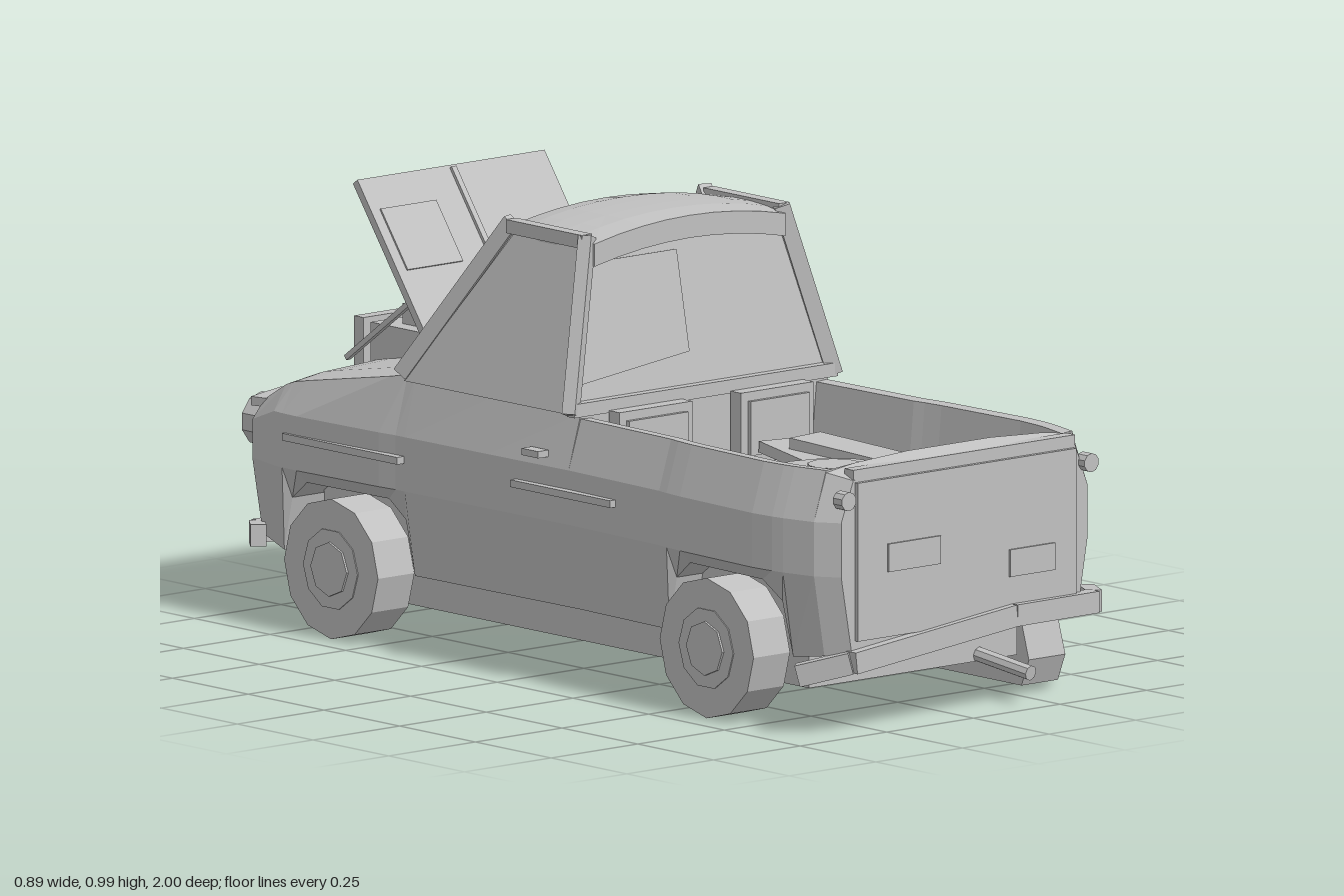
import * as THREE from 'three';

const paint = new THREE.MeshStandardMaterial({ color: 0xc0c0c0 });
paint.name = 'grey';

const V = (x, y, z) => new THREE.Vector3(x, y, z);

// Non-indexed geometry with one normal per face
function flat(geo) {
  const g = geo.index ? geo.toNonIndexed() : geo;
  g.computeVertexNormals();
  return g;
}

function fromTriangles(points, index) {
  const g = new THREE.BufferGeometry();
  g.setAttribute('position', new THREE.Float32BufferAttribute(points, 3));
  g.setIndex(index);
  return flat(g);
}

// Body: closed cross-sections lofted from the engine end to the tailgate
function bodyGeometry() {
  // z, half width, lower edge, rail height, [inner x, inner y, centre x, centre y]
  const deck = (w, y) => [w - 0.12, y + 0.012, 0.12, y + 0.02];
  const bed = w => [w - 0.065, 0.578, w - 0.08, 0.42];
  const stations = [
    [-0.98, 0.34, 0.2, 0.42, deck], [-0.94, 0.385, 0.18, 0.475, deck], [-0.84, 0.41, 0.16, 0.525, deck],
    [-0.81, 0.413, 0.28, 0.535, deck], [-0.76, 0.415, 0.32, 0.545, deck], [-0.5, 0.405, 0.32, 0.59, deck],
    [-0.45, 0.4, 0.28, 0.6, deck], [-0.42, 0.4, 0.16, 0.605, deck], [-0.15, 0.395, 0.16, 0.6, deck],
    [0.11, 0.39, 0.16, 0.59, deck], [0.11, 0.39, 0.16, 0.58, bed], [0.42, 0.4, 0.16, 0.58, bed],
    [0.45, 0.405, 0.28, 0.58, bed], [0.5, 0.41, 0.32, 0.58, bed], [0.75, 0.42, 0.32, 0.58, bed],
    [0.81, 0.415, 0.28, 0.58, bed], [0.84, 0.41, 0.16, 0.58, bed], [0.92, 0.39, 0.17, 0.58, bed],
    [0.92, 0.39, 0.17, 0.575, deck], [0.97, 0.355, 0.18, 0.56, deck],
  ];
  const n = 12, points = [], index = [];
  const rings = stations.map(([z, w, low, top, kind]) => {
    const [ax, ay, bx, by] = kind(w, top);
    const half = [[w - 0.03, low], [w, 0.35], [w, Math.min(0.47, top - 0.04)], [w - 0.035, top], [ax, ay], [bx, by]];
    const ring = half.concat(half.slice().reverse().map(([x, y]) => [-x, y]));
    ring.forEach(([x, y]) => points.push(x, y, z));
    return ring;
  });
  for (let s = 0; s < rings.length - 1; s++) {
    for (let i = 0; i < n; i++) {
      const a = s * n + i, b = s * n + (i + 1) % n;
      index.push(a, b, a + n, b, b + n, a + n);
    }
  }
  const last = (rings.length - 1) * n;
  for (let i = 1; i < n - 1; i++) {
    index.push(0, i + 1, i, last, last + i, last + i + 1);
  }
  return fromTriangles(points, index);
}

// Domed roof over a grid
function roofGeometry() {
  const g = new THREE.BoxGeometry(0.58, 0.05, 0.28, 8, 1, 5);
  const p = g.attributes.position;
  for (let i = 0; i < p.count; i++) {
    const u = p.getX(i) / 0.29, v = p.getZ(i) / 0.14;
    const edge = Math.max(u * u, v * v);
    p.setX(i, p.getX(i) * (1 - 0.05 * v * v));
    p.setY(i, p.getY(i) + 0.02 - 0.03 * u * u - 0.01 * v * v * edge);
  }
  return flat(g);
}

export function createModel() {
  const model = new THREE.Group();
  model.name = 'oldPickup';

  const add = (name, geo, x = 0, y = 0, z = 0, parent = model) => {
    const m = new THREE.Mesh(geo, paint);
    m.name = name;
    m.position.set(x, y, z);
    parent.add(m);
    return m;
  };
  const box = (name, w, h, d, x, y, z) => add(name, new THREE.BoxGeometry(w, h, d), x, y, z);
  const disc = (r, h, n) => flat(new THREE.CylinderGeometry(r, r, h, n));
  // Square or round bar between two points
  const bar = (name, a, b, w, h = w, round = false) => {
    const len = a.distanceTo(b);
    const geo = round ? disc(w, len, 8).rotateX(Math.PI / 2) : new THREE.BoxGeometry(w, h, len);
    const m = add(name, geo);
    m.position.copy(a).add(b).multiplyScalar(0.5);
    m.lookAt(b);
    return m;
  };
  // Thin solid pane on four corners
  const pane = (name, c, t = 0.008) => {
    const n = c[1].clone().sub(c[0]).cross(c[3].clone().sub(c[0])).normalize().multiplyScalar(t);
    const pts = [...c, ...c.map(p => p.clone().sub(n))].flatMap(p => p.toArray());
    const idx = [0, 1, 2, 0, 2, 3, 4, 6, 5, 4, 7, 6];
    for (let i = 0; i < 4; i++) {
      const j = (i + 1) % 4;
      idx.push(i, i + 4, j, j, i + 4, j + 4);
    }
    return add(name, fromTriangles(pts, idx));
  };

  add('body', bodyGeometry());
  box('chassis', 0.6, 0.26, 1.6, 0, 0.205, 0);

  // Cab
  add('roof', roofGeometry(), 0, 0.945, -0.075);
  pane('rearWindow', [V(-0.37, 0.59, 0.1), V(0.37, 0.59, 0.1), V(0.28, 0.95, 0.03), V(-0.28, 0.95, 0.03)]);
  pane('windshield', [V(0.375, 0.6, -0.44), V(-0.375, 0.6, -0.44), V(-0.28, 0.95, -0.19), V(0.28, 0.95, -0.19)]);
  bar('windshieldDivider', V(0, 0.61, -0.44), V(0, 0.94, -0.205), 0.03, 0.015);
  bar('rearSill', V(-0.38, 0.6, 0.105), V(0.38, 0.6, 0.105), 0.025, 0.03);
  bar('cowl', V(-0.38, 0.61, -0.44), V(0.38, 0.61, -0.44), 0.03, 0.02);
  pane('rearGlassPane', [V(-0.34, 0.65, 0.093), V(-0.02, 0.685, 0.086), V(-0.02, 0.905, 0.043), V(-0.28, 0.905, 0.043)], 0.004);
  for (const s of [-1, 1]) {
    const c = [V(s * 0.38, 0.59, 0.1), V(s * 0.385, 0.59, -0.44), V(s * 0.285, 0.95, -0.18), V(s * 0.285, 0.95, 0.03)];
    pane('sideWindow', s > 0 ? c : c.reverse());
    bar('rearPillar', V(s * 0.38, 0.59, 0.105), V(s * 0.28, 0.965, 0.045), 0.03, 0.035);
    bar('frontPillar', V(s * 0.38, 0.605, -0.45), V(s * 0.28, 0.965, -0.2), 0.03, 0.035);
    bar('roofRail', V(s * 0.285, 0.955, 0.05), V(s * 0.285, 0.955, -0.2), 0.03, 0.03);

    // Side trim, handles and lamps
    box('doorTrim', 0.02, 0.016, 0.33, s * 0.4, 0.42, 0.105);
    box('fenderTrim', 0.02, 0.016, 0.38, s * 0.412, 0.42, -0.61);
    box('doorHandle', 0.03, 0.015, 0.055, s * 0.4, 0.497, 0.01);
    add('tailLamp', disc(0.021, 0.03, 10).rotateX(Math.PI / 2), s * 0.35, 0.52, 0.975);
    add('headlamp', disc(0.06, 0.09, 10).rotateX(Math.PI / 2), s * 0.31, 0.42, -0.95);
    bar('headlampHood', V(s * 0.25, 0.475, -0.955), V(s * 0.36, 0.47, -0.93), 0.07, 0.02);

    // Wheels, one of them flat
    for (const z of [-0.62, 0.62]) {
      const isFlat = s > 0 && z > 0;
      const cy = isFlat ? 0.06 : 0.155;
      const wheel = new THREE.Group();
      wheel.name = isFlat ? 'flatWheel' : 'wheel';
      wheel.position.set(s * 0.385, cy, z);
      model.add(wheel);
      const tire = new THREE.CylinderGeometry(0.155, 0.155, 0.105, 12).rotateZ(Math.PI / 2);
      if (isFlat) {
        const p = tire.attributes.position;
        for (let i = 0; i < p.count; i++) {
          p.setY(i, Math.max(p.getY(i) * 1.03, -cy));
          p.setZ(i, p.getZ(i) * 1.18);
        }
      }
      add('tire', flat(tire), 0, 0, 0, wheel);
      add('rim', disc(isFlat ? 0.06 : 0.09, 0.02, 10).rotateZ(Math.PI / 2), s * 0.045, isFlat ? 0.05 : 0, 0, wheel);
      add('hub', disc(isFlat ? 0.035 : 0.06, 0.02, 8).rotateZ(Math.PI / 2), s * 0.05, isFlat ? 0.05 : 0, 0, wheel);
    }
  }

  // Tailgate with patches
  box('tailgate', 0.63, 0.35, 0.02, 0, 0.38, 0.97);
  box('tailgateRim', 0.64, 0.022, 0.03, 0, 0.572, 0.955);
  box('tailgatePatch', 0.15, 0.062, 0.008, -0.155, 0.38, 0.981);
  box('tailgatePatch', 0.13, 0.06, 0.008, 0.185, 0.325, 0.981);

  // Bumpers: the one by the tailgate sags at one end
  const run = (name, pts) => {
    for (let i = 0; i < pts.length - 1; i++) bar(name, pts[i], pts[i + 1], 0.035, 0.048);
  };
  run('tailBumper', [V(-0.41, 0.13, 0.89), V(-0.33, 0.16, 0.975), V(0.13, 0.21, 0.98), V(0.37, 0.21, 0.975), V(0.42, 0.205, 0.89)]);
  run('noseBumper', [V(-0.42, 0.19, -0.88), V(-0.35, 0.18, -0.965), V(0, 0.17, -0.98), V(0.35, 0.18, -0.965), V(0.42, 0.19, -0.88)]);
  bar('exhaust', V(0.19, 0.09, 0.8), V(0.205, 0.068, 0.955), 0.017, 0, true);

  // Grille
  box('grille', 0.42, 0.16, 0.015, 0, 0.33, -0.982);
  for (let i = 0; i < 4; i++) box('grilleBar', 0.38, 0.012, 0.012, 0, 0.275 + i * 0.037, -0.992);

  // Cargo bed: slats, spare wheel, planks and seat backs
  for (const x of [-0.24, -0.12, 0, 0.1, 0.21]) box('bedSlat', 0.016, 0.012, 0.71, x, 0.425, 0.485);
  add('spareTire', disc(0.145, 0.09, 12), -0.13, 0.475, 0.69);
  add('spareHub', disc(0.06, 0.02, 10), -0.13, 0.525, 0.69);
  bar('plank', V(0.15, 0.47, 0.18), V(0.06, 0.45, 0.58), 0.09, 0.025);
  bar('plank', V(0.16, 0.49, 0.26), V(0.22, 0.46, 0.73), 0.1, 0.025);
  for (const x of [-0.175, 0.175]) {
    box('seatBack', 0.21, 0.16, 0.035, x, 0.51, 0.135);
    box('seatPad', 0.17, 0.12, 0.012, x, 0.51, 0.156);
  }

  // Raised hood with prop
  pane('hood', [V(-0.27, 0.61, -0.455), V(0.27, 0.61, -0.455), V(0.27, 0.98, -0.725), V(-0.27, 0.98, -0.725)], 0.018);
  bar('hoodRidge', V(0, 0.62, -0.461), V(0, 0.975, -0.72), 0.014, 0.012);
  const onHood = (x, t) => V(x, 0.613 + 0.37 * t, -0.452 - 0.27 * t);
  for (const [x0, x1, t0, t1] of [[-0.245, -0.085, 0.5, 0.83], [0.06, 0.225, 0.06, 0.38]]) {
    pane('hoodPatch', [onHood(x0, t0), onHood(x1, t0), onHood(x1, t1), onHood(x0, t1)], 0.004);
  }
  bar('hoodProp', V(-0.19, 0.56, -0.85), V(-0.19, 0.74, -0.6), 0.012);

  // Engine
  box('engineBlock', 0.28, 0.1, 0.32, 0, 0.585, -0.67);
  box('engineHead', 0.2, 0.05, 0.22, 0, 0.655, -0.66);
  add('airCleaner', disc(0.045, 0.04, 10), 0.015, 0.695, -0.7);
  add('airCleanerLid', disc(0.058, 0.035, 10), 0.015, 0.732, -0.705);
  box('radiator', 0.27, 0.13, 0.032, 0, 0.575, -0.875);
  bar('hose', V(0.1, 0.61, -0.86), V(0.1, 0.64, -0.58), 0.014, 0, true);

  return model;
}
